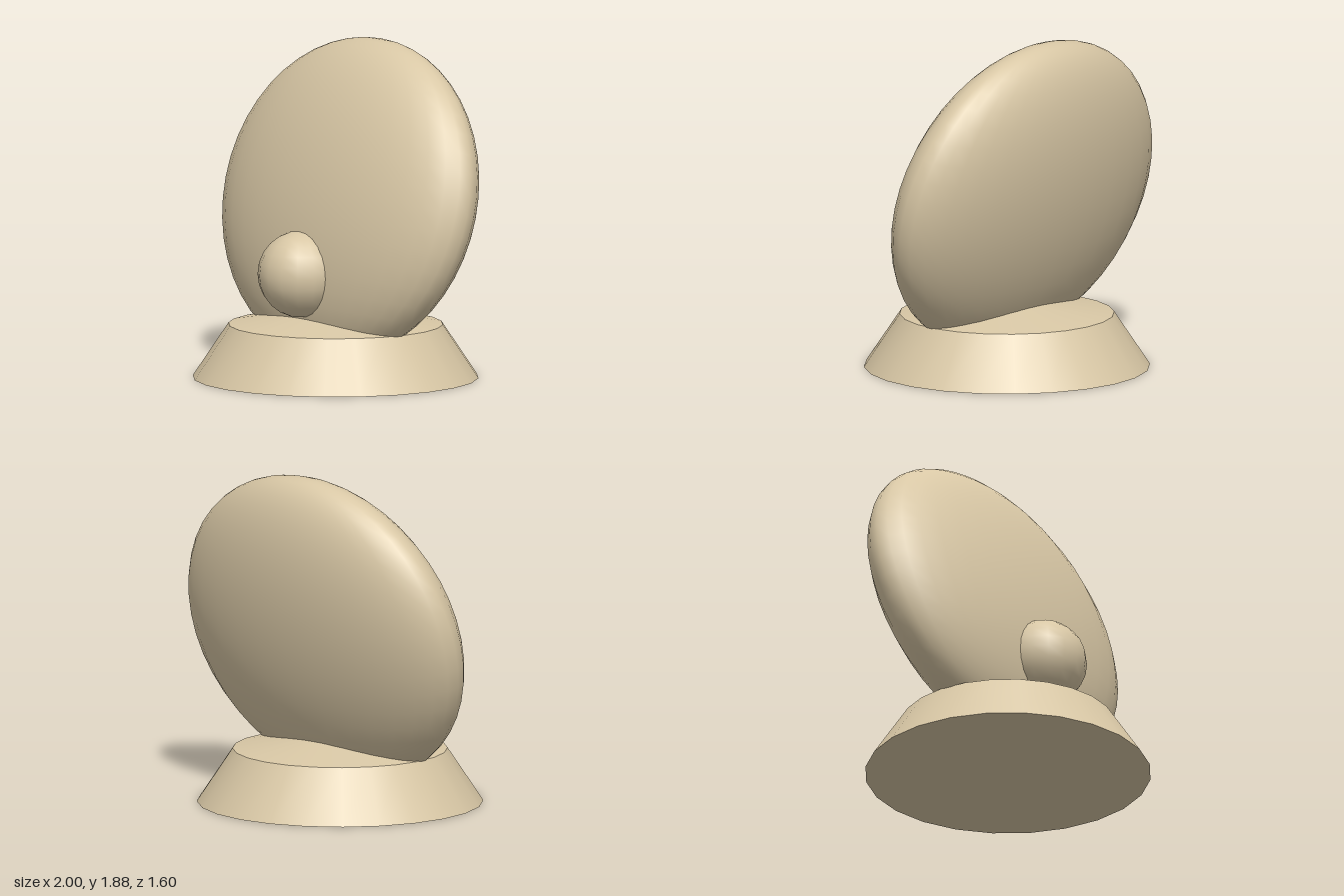
import * as THREE from 'three';

export function createModel() {
  const model = new THREE.Group();
  const tan = new THREE.MeshStandardMaterial({ color: 0xd8c7a5 });
  tan.name = 'tan';

  const add = (name, geometry, x, y, z) => {
    const mesh = new THREE.Mesh(geometry, tan);
    mesh.name = name;
    mesh.position.set(x, y, z);
    model.add(mesh);
    return mesh;
  };

  // Flared base with a flat underside
  add('baseSkirt', new THREE.CylinderGeometry(0.6, 0.8, 0.3, 24, 1, true), 0, 0.15, 0);
  add('baseBottom', new THREE.CircleGeometry(0.8, 24).rotateX(Math.PI / 2).rotateY(Math.PI / 2), 0, 0, 0);

  // Shallow cone closing the top of the base
  add('baseTop', new THREE.ConeGeometry(0.6, 0.1, 24, 1, true), 0, 0.35, 0);

  // Large flattened disc leaning backwards
  const disc = add('disc', new THREE.SphereGeometry(1, 32, 24), 0, 1, -0.11);
  disc.scale.set(1, 0.905, 0.345);
  disc.rotation.x = -0.25;

  // Round knob low on the front of the disc
  add('knob', new THREE.SphereGeometry(0.243, 16, 12), 0, 0.603, 0.255);

  return model;
}
